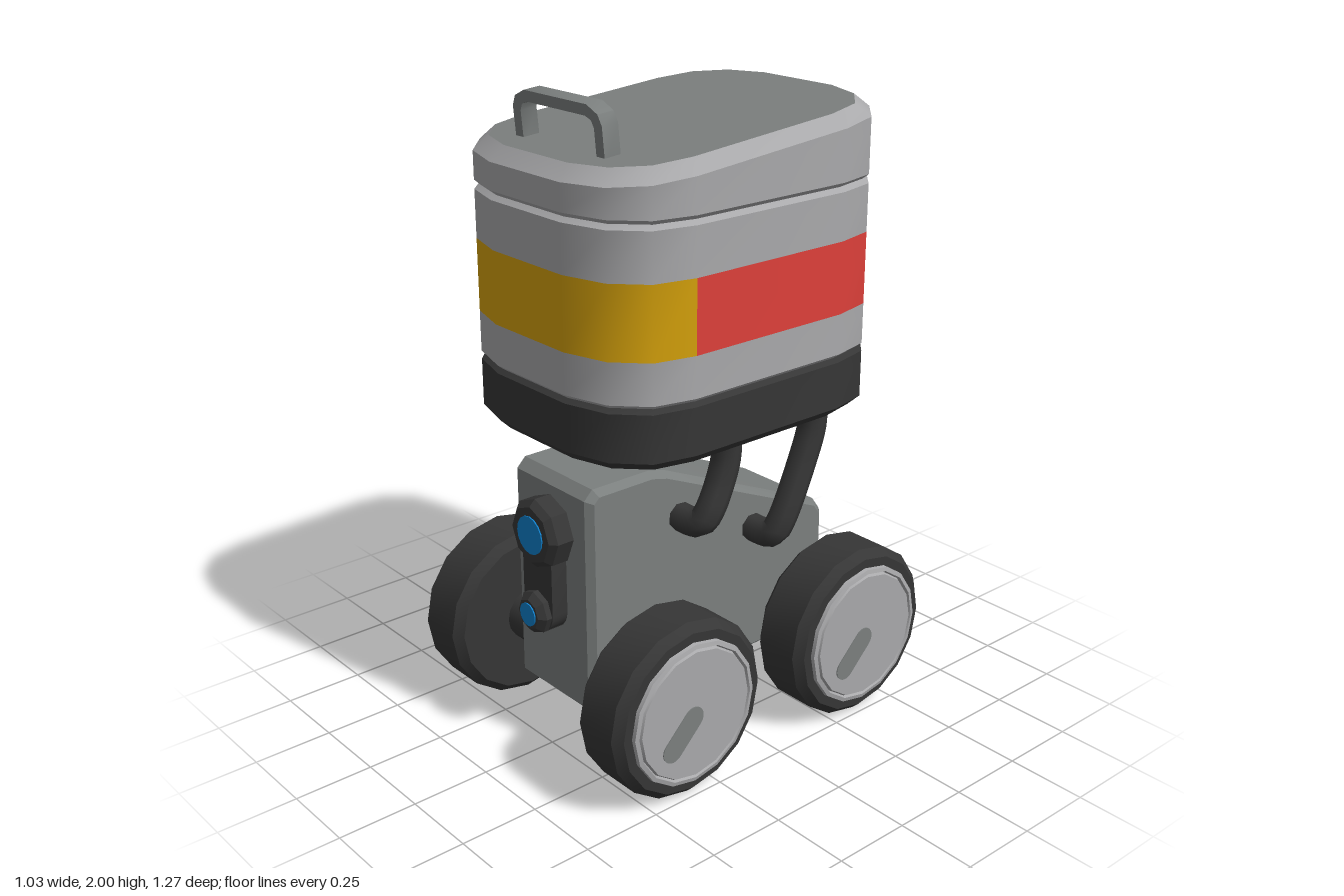
import * as THREE from 'three';
import { toCreasedNormals } from 'three/addons/utils/BufferGeometryUtils.js';

const mat = (name, color) => {
  const m = new THREE.MeshStandardMaterial({ color });
  m.name = name;
  return m;
};

export function createModel() {
  const root = new THREE.Group();
  root.name = 'deliveryRover';
  const light = mat('lightGrey', 0xa9a9ab), grey = mat('midGrey', 0x7b7f7e), dark = mat('charcoal', 0x363636);
  const yellow = mat('yellow', 0xd6a20c), red = mat('red', 0xdd403a), blue = mat('blue', 0x0f80cc);

  const add = (name, geo, material, parent = root, crease = 0.65) => {
    const mesh = new THREE.Mesh(crease ? toCreasedNormals(geo, crease) : geo, material);
    mesh.name = name;
    parent.add(mesh);
    return mesh;
  };
  const lathe = (pts, seg) => new THREE.LatheGeometry(pts.map(p => new THREE.Vector2(...p)), seg);

  // Rounded plan outline of the bin, ordered anticlockwise from above
  const q = [[0.16, 0.537], [0.30, 0.497], [0.39, 0.41], [0.42, 0.28]];
  const flip = (sx, sz) => q.map(([x, z]) => [x * sx, z * sz]);
  const outline = [...q, ...flip(1, -1).reverse(), ...flip(-1, -1), ...flip(-1, 1).reverse()];

  // Joins rings [y, inset, slope] along an outline; cap is 'top', 'bottom' or none
  const loft = (rings, path = outline, closed = true, cap = '') => {
    const pos = [], idx = [], n = path.length;
    for (const [y, inset, slope = 0] of rings)
      for (const [x, z] of path) {
        const pz = z * (1 - inset / 0.537);
        pos.push(x * (1 - inset / 0.42), y - slope * pz, pz);
      }
    const last = closed ? n : n - 1;
    for (let r = 0; r < rings.length - 1; r++)
      for (let i = 0; i < last; i++) {
        const a = r * n + i, b = r * n + (i + 1) % n;
        idx.push(a, b, b + n, a, b + n, a + n);
      }
    if (cap) {
      const top = cap === 'top', base = top ? (rings.length - 1) * n : 0, c = pos.length / 3;
      pos.push(0, top ? rings[rings.length - 1][0] : rings[0][0], 0);
      for (let i = 0; i < n; i++) {
        const a = base + i, b = base + (i + 1) % n;
        idx.push(c, ...(top ? [a, b] : [b, a]));
      }
    }
    const g = new THREE.BufferGeometry();
    g.setAttribute('position', new THREE.Float32BufferAttribute(pos, 3));
    g.setIndex(idx);
    return g;
  };

  // Cargo bin, bottom to top
  const bin = new THREE.Group();
  bin.name = 'cargoBin';
  root.add(bin);
  add('binBase', loft([[1.01, 0.03], [1.04, 0], [1.185, 0], [1.197, 0.015]], outline, true, 'bottom'), dark, bin);
  add('binLower', loft([[1.197, 0.015], [1.21, 0], [1.335, 0]]), light, bin);
  const band = [[1.335, 0], [1.555, 0]];
  add('frontStripe', loft(band, [...outline.slice(12), ...outline.slice(0, 4)], false), yellow, bin);
  add('rearStripe', loft(band, outline.slice(3, 13), false), red, bin);
  add('binUpper', loft([[1.555, 0], [1.70, 0], [1.713, 0.015]]), light, bin);
  const slope = 0.09;
  add('lidRim', loft([[1.713, 0.015], [1.727, 0], [1.857, 0, slope], [1.897, 0.04, slope]]), light, bin);
  add('lidTop', loft([[1.897, 0.04, slope]], outline, true, 'top'), grey, bin);

  // Lid handle
  const hs = new THREE.Shape([[-0.2, -0.02], [-0.2, 0.09], [-0.185, 0.12], [-0.14, 0.141], [0.14, 0.141], [0.185, 0.12],
    [0.2, 0.09], [0.2, -0.02], [0.165, -0.02], [0.165, 0.08], [0.155, 0.1], [0.13, 0.109],
    [-0.13, 0.109], [-0.155, 0.1], [-0.165, 0.08], [-0.165, -0.02]].map(p => new THREE.Vector2(...p)));
  const hg = new THREE.ExtrudeGeometry(hs, { depth: 0.055, bevelEnabled: false });
  hg.translate(0, 0, -0.0275);
  const handle = add('lidHandle', hg, grey, bin);
  handle.position.set(0, 1.859, 0.387);
  handle.rotation.x = slope;

  // Wedge chassis, profile as z,y
  const cs = new THREE.Shape([[0.48, 0.185], [0.48, 0.87], [0.45, 0.90], [0.24, 0.90], [0.18, 0.885], [-0.455, 0.605],
    [-0.487, 0.56], [-0.487, 0.185], [-0.46, 0.16], [0.455, 0.16]].map(p => new THREE.Vector2(...p)));
  const cg = new THREE.ExtrudeGeometry(cs, {
    depth: 0.325, bevelThickness: 0.0225, bevelSize: 0.02, bevelOffset: -0.02, bevelSegments: 1,
  });
  cg.translate(0, 0, -0.1625);
  cg.rotateY(-Math.PI / 2);
  add('chassis', cg, grey, root, 0.5);

  // Flat capsule lying along x
  const capsule = (half, r, depth) => {
    const s = new THREE.Shape();
    s.absarc(half, 0, r, -Math.PI / 2, Math.PI / 2);
    s.absarc(-half, 0, r, Math.PI / 2, Math.PI * 1.5);
    return new THREE.ExtrudeGeometry(s, { depth, bevelEnabled: false, curveSegments: 6 });
  };

  // Bent suspension tubes
  const legPaths = {
    frontLeg: [[0.29, 1.04, 0.05], [0.29, 0.94, 0.047], [0.29, 0.86, 0.07], [0.29, 0.775, 0.113],
      [0.275, 0.74, 0.13], [0.235, 0.73, 0.135], [0.15, 0.73, 0.135]],
    rearLeg: [[0.29, 1.04, -0.312], [0.29, 0.94, -0.31], [0.29, 0.85, -0.28], [0.29, 0.65, -0.185],
      [0.275, 0.612, -0.168], [0.235, 0.602, -0.165], [0.15, 0.602, -0.165]],
  };

  for (const s of [1, -1]) {
    const side = s > 0 ? 'left' : 'right';
    for (const [name, pts] of Object.entries(legPaths)) {
      const curve = new THREE.CatmullRomCurve3(pts.map(([x, y, z]) => new THREE.Vector3(s * x, y, z)));
      add(`${side} ${name}`, new THREE.TubeGeometry(curve, 24, 0.045, 8), dark, root, 0);
    }

    // Wheels: tyre, hub cap and slot
    for (const z of [0.355, -0.355]) {
      const wheel = new THREE.Group();
      wheel.name = `${side} ${z > 0 ? 'front' : 'rear'} wheel`;
      wheel.position.set(0, 0.282, z);
      root.add(wheel);
      const turned = (name, pts, material) => {
        const g = lathe(pts, 16);
        g.rotateZ(-s * Math.PI / 2);
        return add(name, g, material, wheel, 0.5);
      };
      turned('tyre', [[0, 0.30], [0.255, 0.30], [0.282, 0.327], [0.282, 0.468], [0.257, 0.495], [0.222, 0.495]], dark);
      turned('hubCap', [[0.228, 0.493], [0.226, 0.507], [0.213, 0.51], [0.208, 0.50], [0.203, 0.51], [0, 0.51]], light);
      turned('axle', [[0.085, 0.15], [0.085, 0.305]], dark);
      const slot = capsule(0.055, 0.037, 0.005);
      slot.rotateZ(s * Math.PI / 4);
      slot.rotateY(s * Math.PI / 2);
      add('hubSlot', slot, grey, wheel).position.set(s * 0.508, -0.048, 0.05);
    }
  }

  // Octagonal lamps with thin lenses; dir is +1 facing front, -1 facing back
  const lamp = (name, y, z, dir, r, lensR, depth, lensMat) => {
    const g = new THREE.Group();
    g.name = name;
    g.position.set(0, y, z);
    g.rotation.x = dir * Math.PI / 2;
    root.add(g);
    add('lampHousing', lathe([[r, 0], [r, depth - 0.02], [r - 0.02, depth], [0, depth]], 8), dark, g, 0.5);
    add('lens', new THREE.CylinderGeometry(lensR, lensR, 0.006, 16), lensMat, g).position.y = depth + 0.001;
  };
  lamp('mainCamera', 0.73, 0.46, 1, 0.11, 0.06, 0.096, blue);
  lamp('lowerCamera', 0.475, 0.46, 1, 0.068, 0.037, 0.113, blue);
  lamp('upperTailLamp', 0.465, -0.47, -1, 0.073, 0.042, 0.105, red);
  lamp('lowerTailLamp', 0.312, -0.47, -1, 0.073, 0.042, 0.105, red);
  const strut = capsule(0.125, 0.07, 0.07);
  strut.rotateZ(Math.PI / 2);
  add('cameraMount', strut, dark).position.set(0, 0.605, 0.465);

  return root;
}
